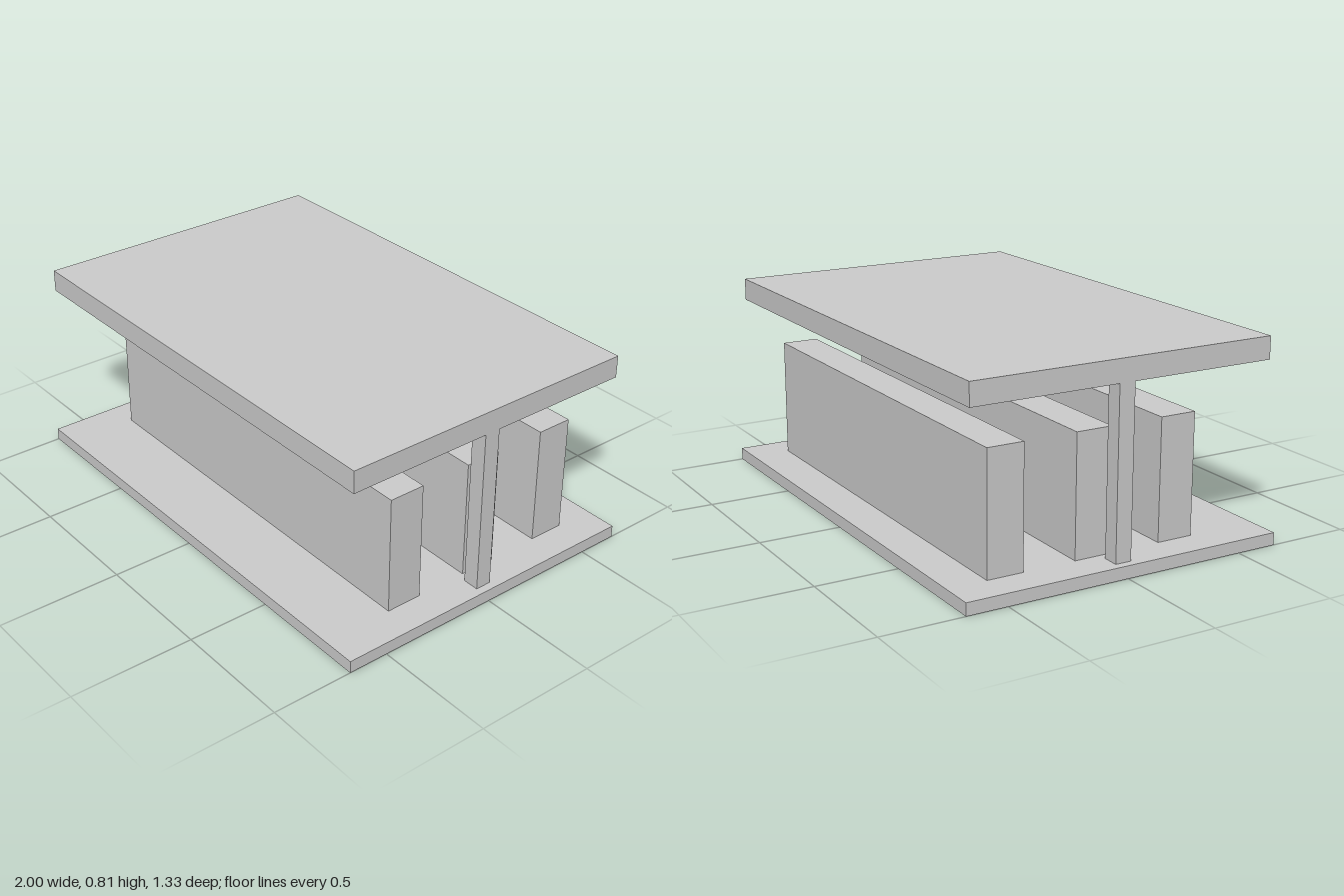
import * as THREE from 'three';

const grey = new THREE.MeshStandardMaterial({ color: 0xcccccc, side: THREE.DoubleSide });
grey.name = 'light grey';

// Box given by its extents along each axis
function slab(name, [x0, x1], [y0, y1], [z0, z1]) {
  const geometry = new THREE.BoxGeometry(x1 - x0, y1 - y0, z1 - z0);
  geometry.translate((x0 + x1) / 2, (y0 + y1) / 2, (z0 + z1) / 2);
  const mesh = new THREE.Mesh(geometry, grey);
  mesh.name = name;
  return mesh;
}

// Remove the underside of a box, leaving a shell open below
function openBelow(mesh) {
  const index = Array.from(mesh.geometry.index.array);
  index.splice(18, 6);
  mesh.geometry.setIndex(index);
  mesh.geometry.clearGroups();
  return mesh;
}

export function createModel() {
  const model = new THREE.Group();
  model.name = 'shelter';
  const floor = 0.05, eaves = 0.72;

  // Ground plate, hollow underneath
  model.add(openBelow(slab('base', [-1, 1], [0, floor], [-0.667, 0.667])));

  // Flat roof
  model.add(slab('roof', [-0.967, 0.967], [eaves, 0.81], [-0.633, 0.633]));

  // One post at each end
  model.add(openBelow(slab('leftPost', [0.9, 0.967], [floor, eaves], [-0.033, 0.033])));
  model.add(openBelow(slab('rightPost', [-0.967, -0.9], [floor, eaves], [-0.033, 0.033])));

  // Three evenly spaced long blocks
  ['frontBlock', 'middleBlock', 'backBlock'].forEach((name, i) => {
    const z = 0.302 - i * 0.367;
    model.add(openBelow(slab(name, [-0.865, 0.865], [floor, 0.535], [z - 0.075, z + 0.075])));
  });

  return model;
}
